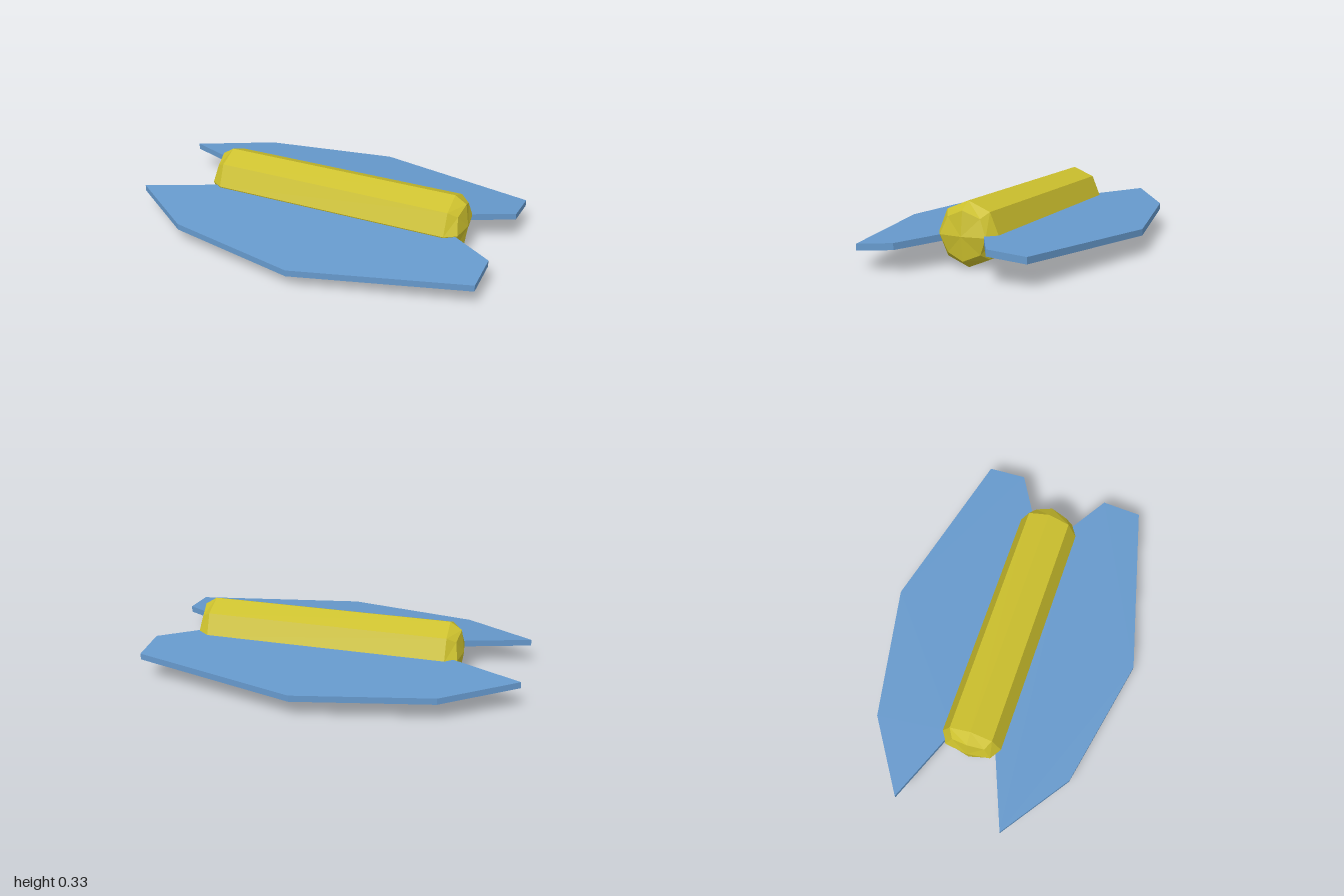
import * as THREE from 'three';

const bodyMaterial = new THREE.MeshStandardMaterial({ color: 0xccc02d, flatShading: true });
const wingMaterial = new THREE.MeshStandardMaterial({ color: 0x6699cc, flatShading: true });

// Eight-sided hull along x, with bevelled, slightly pointed ends
function makeBody() {
  const half = 0.66, radius = 0.165, capRadius = 0.125;
  const profile = [
    [0, -half - 0.08], [capRadius, -half - 0.063], [radius, -half],
    [radius, half], [capRadius, half + 0.063], [0, half + 0.08],
  ].map(([r, y]) => new THREE.Vector2(r, y));
  const geometry = new THREE.LatheGeometry(profile, 8);
  // Pull the diagonal corners of each cap ring back a little
  const p = geometry.attributes.position;
  for (let i = 0; i < p.count; i++) {
    const x = p.getX(i), y = p.getY(i), z = p.getZ(i);
    const diagonal = Math.abs(x * z) > 0.001;
    if (diagonal && Math.abs(y) > half + 0.01) p.setY(i, y - Math.sign(y) * 0.015);
  }
  geometry.rotateZ(-Math.PI / 2);
  geometry.computeVertexNormals();
  const body = new THREE.Mesh(geometry, bodyMaterial);
  body.name = 'body';
  body.position.set(0.07, 0.167, -0.017);
  return body;
}

// Flat plate from an (x, z) outline, sloping down away from the body
function makeWing(name, outline, rootHeight, slope) {
  const shape = new THREE.Shape(outline.map(([x, z]) => new THREE.Vector2(x, -z)));
  const geometry = new THREE.ExtrudeGeometry(shape, { depth: 0.034, bevelEnabled: false });
  geometry.rotateX(-Math.PI / 2);
  const p = geometry.attributes.position;
  for (let i = 0; i < p.count; i++) {
    p.setY(i, p.getY(i) + rootHeight - slope * Math.abs(p.getZ(i)));
  }
  geometry.computeVertexNormals();
  const wing = new THREE.Mesh(geometry, wingMaterial);
  wing.name = name;
  return wing;
}

export function createModel() {
  const group = new THREE.Group();
  group.name = 'wingedCraft';
  group.add(
    makeBody(),
    makeWing('frontWing', [
      [-1, 0.28], [-0.62, 0.54], [0.1, 0.685], [1, 0.452], [1, 0.24], [0.775, 0.107], [-0.57, 0.107],
    ], 0.142, 0.106),
    makeWing('backWing', [
      [-1, -0.297], [-0.62, -0.546], [0.1, -0.685], [1, -0.457], [1, -0.252], [0.785, -0.128], [-0.58, -0.128],
    ], 0.153, 0.077),
  );
  return group;
}
